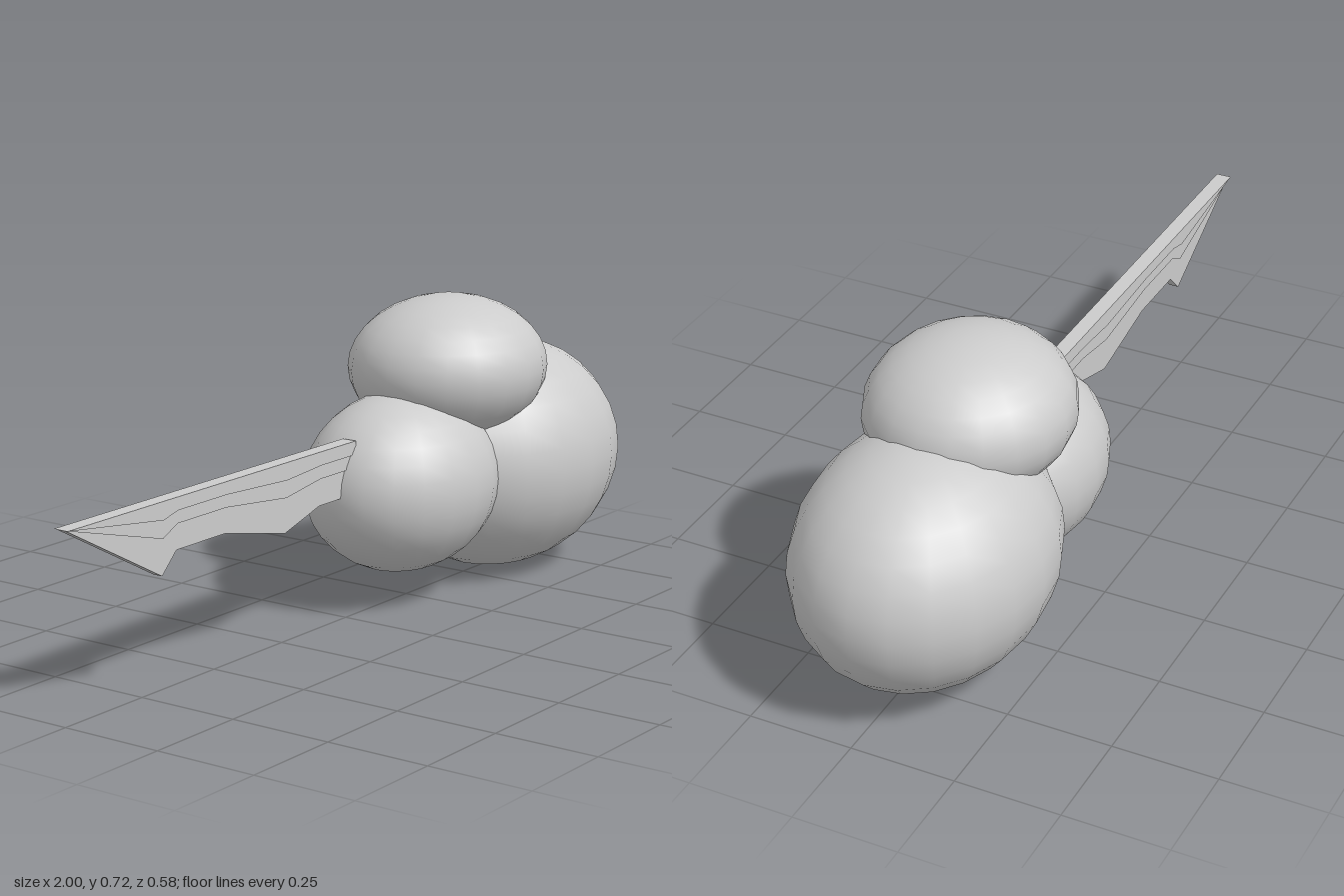
import * as THREE from 'three';

export function createModel() {
  const model = new THREE.Group();
  const material = new THREE.MeshStandardMaterial({ color: 0xcccccc });

  function addPart(name, geometry) {
    const mesh = new THREE.Mesh(geometry, material);
    mesh.name = name;
    model.add(mesh);
    return mesh;
  }

  // Three overlapping ellipsoid lobes: centre and radii
  function addLobe(name, centre, radii) {
    const mesh = addPart(name, new THREE.SphereGeometry(1, 20, 16));
    mesh.position.set(...centre);
    mesh.scale.set(...radii);
  }
  addLobe('largeLobe', [0.64, 0.289, 0], [0.36, 0.288, 0.288]);
  addLobe('smallLobe', [0.23, 0.291, 0], [0.27, 0.219, 0.22]);
  addLobe('topLobe', [0.423, 0.541, 0], [0.257, 0.175, 0.237]);

  // Jagged blade with a straight top edge; upper layers are shallower and thicker
  const topY = 0.43;
  const lowerEdge = [
    [-1, 0], [-0.69, 0.168], [-0.64, 0.12], [-0.47, 0.12],
    [-0.25, 0.167], [-0.12, 0.13], [0.015, 0.13],
  ];
  function addBladeLayer(name, depthScale, thickness) {
    const points = lowerEdge.map(([x, drop]) => new THREE.Vector2(x, topY - drop * depthScale));
    points.push(new THREE.Vector2(0.015, topY));
    const geometry = new THREE.ExtrudeGeometry(new THREE.Shape(points), {
      depth: thickness, bevelEnabled: false,
    });
    geometry.translate(0, 0, -thickness / 2);
    addPart(name, geometry);
  }
  addBladeLayer('blade', 1, 0.024);
  addBladeLayer('bladeMiddleRidge', 0.5, 0.032);
  addBladeLayer('bladeSpine', 0.25, 0.038);

  return model;
}
